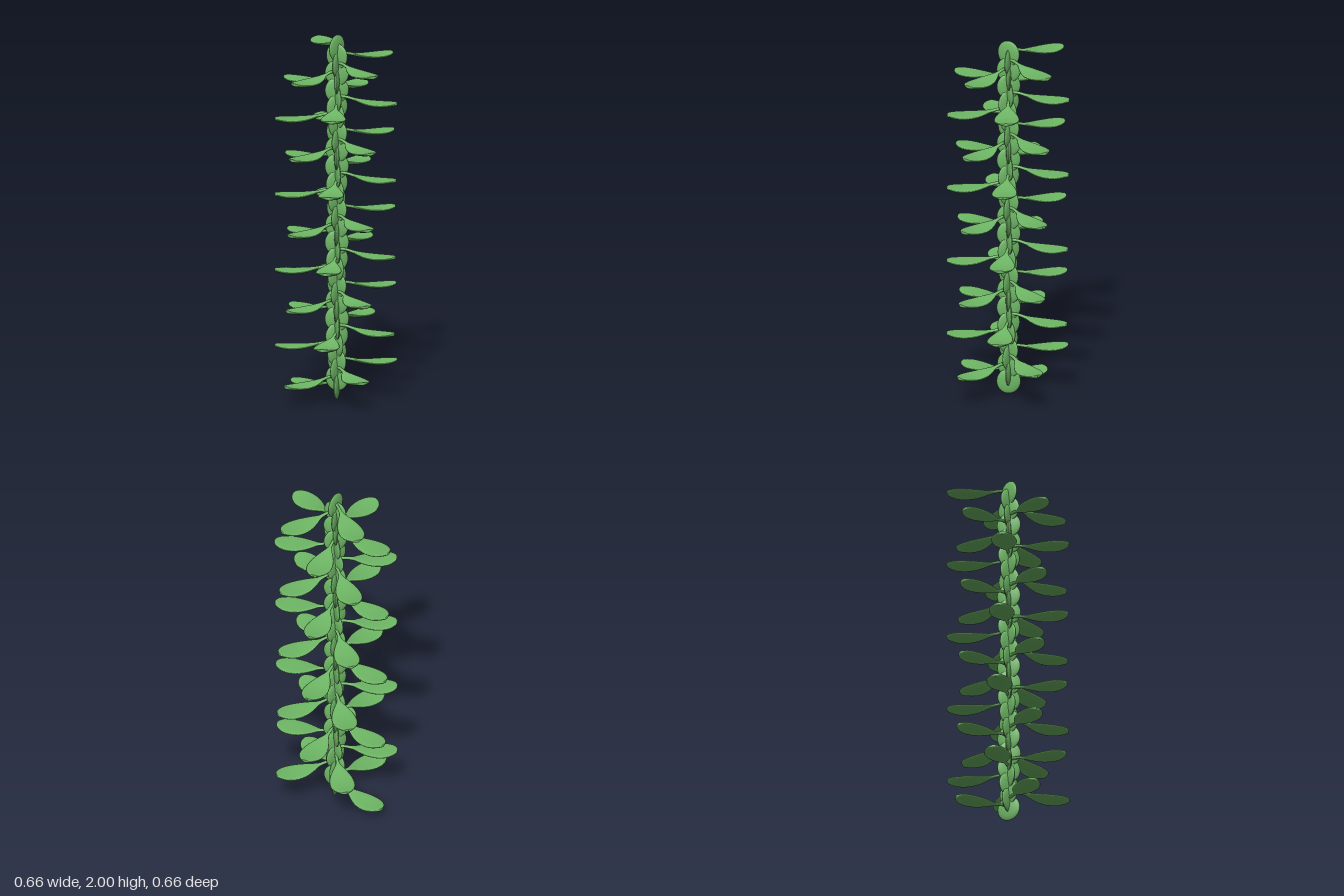
import * as THREE from 'three';

const COUNT = 41;                                  // one pad and one leaf per node
const STEP = THREE.MathUtils.degToRad(80.33);      // turn from node to node
const LEAF_START = THREE.MathUtils.degToRad(-124.5);
const PAD_START = THREE.MathUtils.degToRad(-68);
const TOP = 1.93, RISE = 1.86 / (COUNT - 1);

// Spoon-shaped leaf along +x: narrow stalk, sagging rounded blade
function leafGeometry() {
  // distance from stem, height, half width
  const spine = new THREE.CatmullRomCurve3([
    [0.0, 0.012, 0.009], [0.05, 0.012, 0.008], [0.09, 0.003, 0.012], [0.13, -0.008, 0.035],
    [0.18, -0.018, 0.058], [0.235, -0.022, 0.068], [0.28, -0.02, 0.062],
    [0.313, -0.015, 0.043], [0.329, -0.012, 0.022], [0.334, -0.011, 0.0005],
  ].map(p => new THREE.Vector3(...p)), false, 'centripetal');
  const rings = 28, sides = 18;
  const pos = [], index = [];
  for (let i = 0; i <= rings; i++) {
    const p = spine.getPoint(i / rings);
    const thick = Math.min(p.z, 0.008 + 0.04 * Math.max(0, p.z - 0.01));
    for (let j = 0; j < sides; j++) {
      const a = (j / sides) * Math.PI * 2, c = Math.cos(a);
      // edges lift slightly, making a shallow dish
      pos.push(p.x, p.y + thick * Math.sin(a) + 0.09 * p.z * c * c, p.z * c);
      if (i === rings) continue;
      const k = (j + 1) % sides, q = i * sides, r = q + sides;
      index.push(q + j, r + j, q + k, r + j, r + k, q + k);
    }
  }
  const geo = new THREE.BufferGeometry();
  geo.setAttribute('position', new THREE.Float32BufferAttribute(pos, 3));
  geo.setIndex(index);
  geo.computeVertexNormals();
  return geo;
}

export function createModel() {
  const model = new THREE.Group();
  model.name = 'plantStem';
  const green = new THREE.MeshStandardMaterial({ color: 0x6fb866 });
  const leafGeo = leafGeometry();
  // Flat round stem pad, upright
  const padGeo = new THREE.SphereGeometry(1, 24, 16).scale(0.065, 0.07, 0.014);

  for (let i = 0; i < COUNT; i++) {
    const y = TOP - i * RISE;

    const pad = new THREE.Mesh(padGeo, green);
    pad.name = 'stemPad';
    pad.position.y = y;
    pad.rotation.y = -(PAD_START + i * STEP);

    const leaf = new THREE.Mesh(leafGeo, green);
    leaf.name = 'leaf';
    leaf.position.y = y;
    leaf.rotation.y = -(LEAF_START + i * STEP);

    model.add(pad, leaf);
  }
  return model;
}
